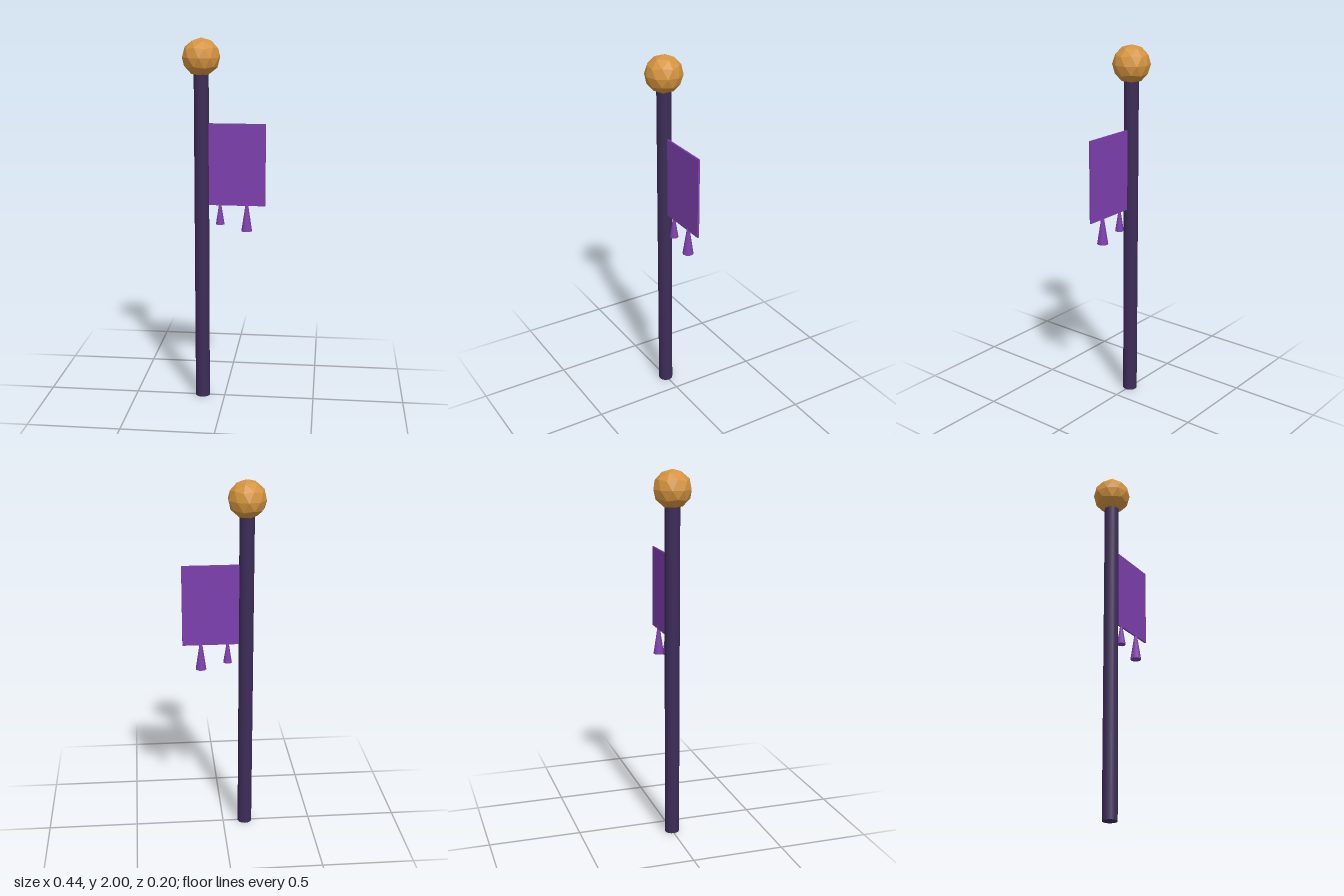
import * as THREE from 'three';

const POLE_X = -0.125;

function part(name, geometry, color, x, y, flatShading = false) {
  const mesh = new THREE.Mesh(geometry, new THREE.MeshStandardMaterial({ color, flatShading }));
  mesh.name = name;
  mesh.position.set(x, y, 0);
  return mesh;
}

export function createModel() {
  const group = new THREE.Group();
  group.name = 'bannerPole';

  // Upright pole, its top sunk just into the ball
  const poleTop = 1.82;
  group.add(part('pole', new THREE.CylinderGeometry(0.04, 0.04, poleTop, 16), 0x3d2c58, POLE_X, poleTop / 2));

  // Faceted ball finial, turned so that one corner points straight up
  const ball = new THREE.IcosahedronGeometry(0.102, 1);
  ball.rotateZ(-Math.atan(2 / (1 + Math.sqrt(5))));
  group.add(part('ballFinial', ball, 0xd4943f, POLE_X, 1.898, true));

  // Thin banner panel, attached to the pole
  const left = -0.11, right = 0.22, bottom = 1.105, top = 1.55;
  group.add(part('banner', new THREE.BoxGeometry(right - left, top - bottom, 0.01),
    0x7d3fae, (left + right) / 2, (bottom + top) / 2));

  // Cone tassels, their tips hidden inside the banner
  const tassels = [
    { name: 'innerTassel', x: -0.025, radius: 0.024, base: 1.0, tip: 1.15 },
    { name: 'outerTassel', x: 0.12, radius: 0.03, base: 0.965, tip: 1.16 },
  ];
  for (const { name, x, radius, base, tip } of tassels) {
    group.add(part(name, new THREE.ConeGeometry(radius, tip - base, 10), 0x7d3fae, x, (base + tip) / 2));
  }
  return group;
}
